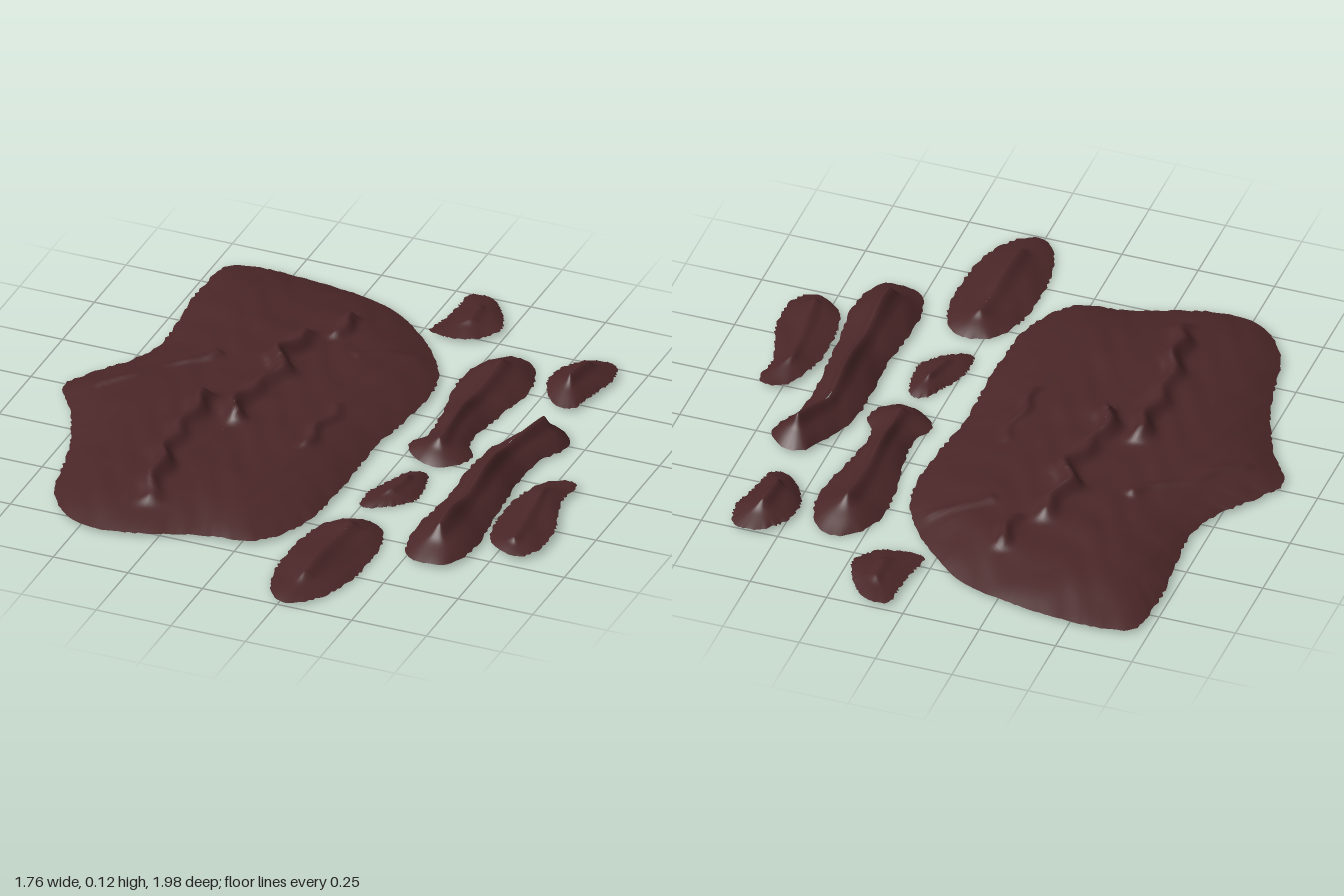
import * as THREE from 'three';

// Smooth repeatable surface roughness, about -1 to 1
const rough = (x, z) =>
  0.5 * Math.sin(13 * x + 4 * Math.sin(7 * z)) * Math.cos(11 * z + 2 * x) +
  0.5 * Math.sin(31 * x - 9 * z) * Math.sin(27 * z + 2 * Math.sin(19 * x));

// Nearest point on a polyline, with its distance
function nearest(line, x, z) {
  let best = [0, 0, Infinity];
  for (let i = 0; i < line.length - 1; i++) {
    const [ax, az] = line[i], dx = line[i + 1][0] - ax, dz = line[i + 1][1] - az;
    const k = THREE.MathUtils.clamp(((x - ax) * dx + (z - az) * dz) / (dx * dx + dz * dz), 0, 1);
    const px = ax + k * dx, pz = az + k * dz, d = Math.hypot(x - px, z - pz);
    if (d < best[2]) best = [px, pz, d];
  }
  return best;
}

// Sheet of rings running from a spine line out to a closed outline
function sheet(outline, spine, rings, segments, height) {
  const curve = new THREE.CatmullRomCurve3(outline.map(([x, z]) => new THREE.Vector3(x, 0, z)), true);
  const rim = curve.getSpacedPoints(segments).slice(0, segments);
  const position = [], index = [];
  for (let r = 0; r <= rings; r++) {
    const t = r / rings;
    rim.forEach((p, i) => {
      const [cx, cz] = nearest(spine, p.x, p.z);
      const jag = t ** 6 * 0.004 * Math.sin(i * 1.9 + 2 * Math.sin(i * 0.7));
      const x = cx + (p.x - cx) * t + jag, z = cz + (p.z - cz) * t + jag * 0.6;
      position.push(x, height(x, z, t), z);
      if (r < rings) {
        const a = r * segments + i, b = r * segments + (i + 1) % segments;
        index.push(a, b, a + segments, b, b + segments, a + segments);
      }
    });
  }
  const geometry = new THREE.BufferGeometry();
  geometry.setAttribute('position', new THREE.Float32BufferAttribute(position, 3));
  geometry.setIndex(index);
  geometry.computeVertexNormals();
  return geometry;
}

const mainOutline = [
  [-0.7, -0.85], [-0.6, -0.88], [-0.15, -0.81], [0, -0.7], [0.12, -0.56], [0.18, -0.42],
  [0.18, -0.2], [0.155, 0], [0.16, 0.28], [0.13, 0.55], [0.03, 0.69], [-0.1, 0.71],
  [-0.4, 0.8], [-0.53, 0.78], [-0.64, 0.66], [-0.71, 0.38], [-0.79, 0.18],
  [-0.88, 0.02], [-0.84, -0.06], [-0.71, -0.28], [-0.725, -0.68],
];

// Ridges on the main sheet
const ridges = [
  { height: 0.045, width: 0.028, path: [[-0.26, -0.45], [-0.29, -0.3], [-0.25, -0.2], [-0.3, 0], [-0.28, 0.1]] },
  { height: 0.04, width: 0.028, path: [[-0.4, 0.03], [-0.4, 0.3], [-0.34, 0.63]] },
  { height: 0.014, width: 0.018, path: [[-0.48, -0.25], [-0.75, 0.02]] },
  { height: 0.03, width: 0.022, path: [[-0.18, -0.62], [-0.19, -0.5]] },
  { height: 0.014, width: 0.018, path: [[0.07, -0.52], [-0.08, -0.42]] },
  { height: 0.018, width: 0.018, path: [[-0.01, -0.1], [-0.02, 0.15]] },
];

// Small fragments: rim and crest heights, then rows of z, least x, greatest x
const fragments = {
  backFragment: [0.03, 0.055, [[-0.98, 0.06, 0.13], [-0.88, 0.05, 0.21], [-0.8, 0.04, 0.23], [-0.72, 0.03, 0.16]]],
  innerLongFragment: [0.02, 0.085, [[-0.68, 0.3, 0.38], [-0.55, 0.23, 0.45], [-0.15, 0.27, 0.41],
    [-0.06, 0.24, 0.45], [0.02, 0.32, 0.4]]],
  outerBackFragment: [0.03, 0.085, [[-0.75, 0.56, 0.64], [-0.66, 0.49, 0.67], [-0.56, 0.49, 0.65], [-0.45, 0.57, 0.62]]],
  outerLongFragment: [0.028, 0.11, [[-0.32, 0.58, 0.64], [-0.24, 0.53, 0.7], [-0.1, 0.48, 0.65],
    [0.2, 0.48, 0.66], [0.48, 0.47, 0.68], [0.59, 0.52, 0.64]]],
  sideFragment: [0.033, 0.062, [[-0.02, 0.75, 0.82], [0.1, 0.69, 0.82], [0.27, 0.68, 0.87],
    [0.4, 0.71, 0.87], [0.46, 0.79, 0.83]]],
  smallFragment: [0.02, 0.06, [[0.08, 0.32, 0.36], [0.17, 0.27, 0.39], [0.25, 0.24, 0.39], [0.34, 0.25, 0.29]]],
  frontFragment: [0.022, 0.072, [[0.43, 0.25, 0.34], [0.52, 0.18, 0.4], [0.85, 0.17, 0.39], [0.98, 0.24, 0.3]]],
};

export function createModel() {
  const group = new THREE.Group();
  const rock = new THREE.MeshStandardMaterial({ color: 0x4a2627, side: THREE.DoubleSide });
  rock.name = 'dark red brown';
  const add = (name, geometry) => {
    const mesh = new THREE.Mesh(geometry, rock);
    mesh.name = name;
    group.add(mesh);
  };

  // Main sheet: a low plateau with thin winding ridges
  add('mainSheet', sheet(mainOutline, [[-0.3, -0.25], [-0.28, 0.2]], 70, 300, (x, z, t) => {
    let y = 0.028 + 0.058 * (1 - t ** 3.5) + 0.006 * rough(x, z) * (1 - 0.6 * t);
    for (const { path, height, width } of ridges) {
      const d = nearest(path, x + 0.012 * Math.sin(38 * z), z)[2];
      y += height * (0.85 + 0.25 * Math.sin(17 * z)) * Math.exp(-((d / width) ** 2)) * (1 - t ** 6);
    }
    return y;
  }));

  // Fragments: sloped sheets rising to a rough crest
  for (const [name, [rim, crest, rows]] of Object.entries(fragments)) {
    const right = rows.map(([z, , x]) => [x, z]);
    const left = rows.map(([z, x]) => [x, z]).reverse();
    const spine = rows.slice(1, -1).map(([z, a, b]) => [(a + b) / 2, z]);
    add(name, sheet([...right, ...left], spine, 18, 110, (x, z, t) => {
      const rise = 0.65 * (1 - t ** 1.6) + 0.35 * Math.exp(-((t / 0.22) ** 2));
      return rim + (crest - rim) * rise * (0.9 + 0.15 * Math.sin(19 * z)) + 0.004 * rough(x, z);
    }));
  }
  return group;
}
